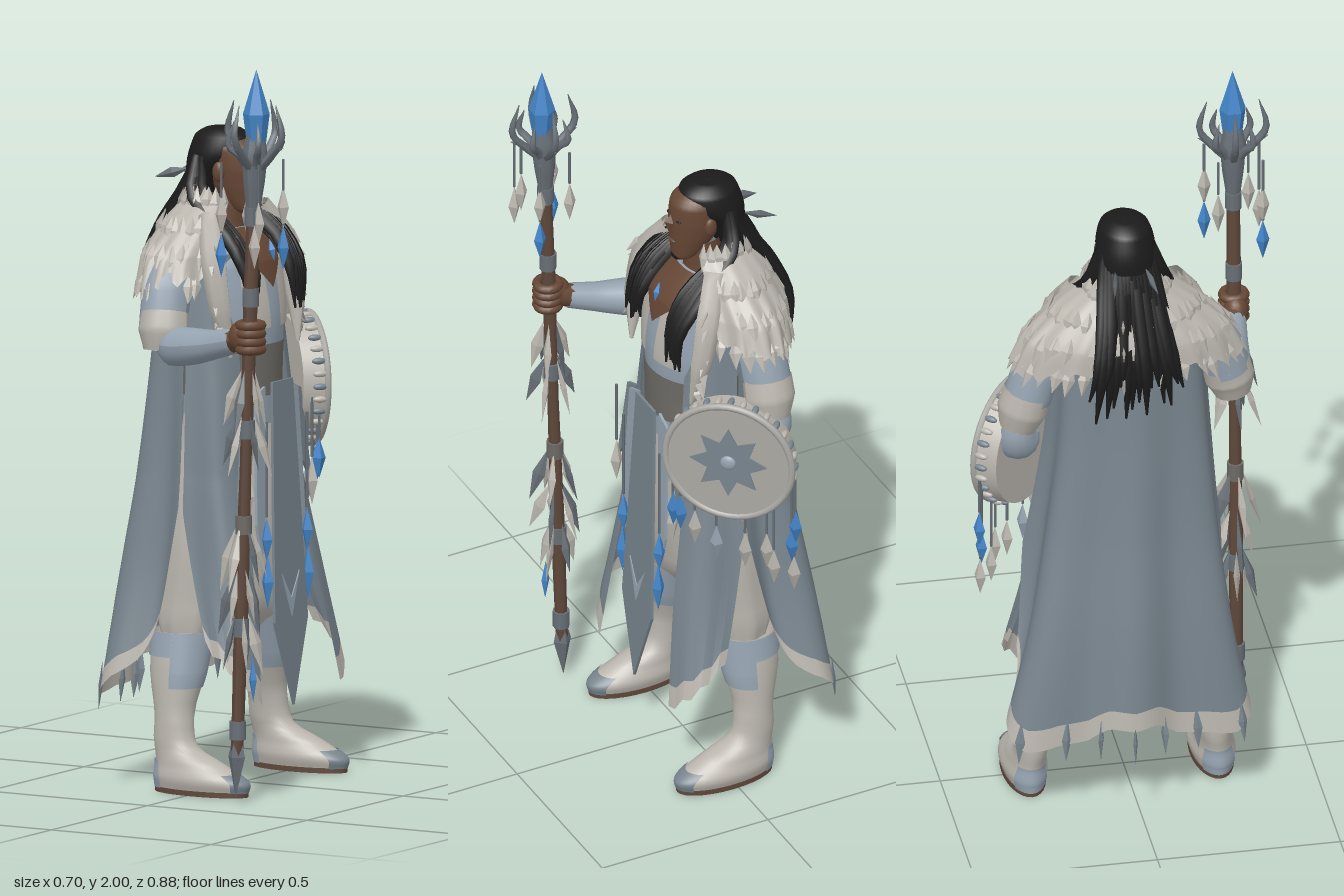
import * as THREE from 'three';
import { ParametricGeometry } from 'three/addons/geometries/ParametricGeometry.js';

const V = (x, y, z) => new THREE.Vector3(x, y, z);
const lerp = THREE.MathUtils.lerp;
const paint = (name, color, side = THREE.FrontSide) =>
  Object.assign(new THREE.MeshStandardMaterial({ color, side }), { name });

export function createModel() {
  const slate = paint('slate cloth', 0x78848d, THREE.DoubleSide);
  const paleBlue = paint('pale blue cloth', 0x95a3b0, THREE.DoubleSide);
  const white = paint('off white fur', 0xbab6ae, THREE.DoubleSide);
  const black = paint('black hair', 0x1c1b1b, THREE.DoubleSide);
  const skin = paint('brown skin', 0x664735);
  const wood = paint('wood', 0x5f483b);
  const horn = paint('grey horn', 0x687076);
  const crystal = paint('blue crystal', 0x4385c8);
  const leather = paint('grey leather', 0x6e6b66);
  const hide = paint('drum hide', 0xaaa8a3);

  const model = new THREE.Group();
  model.name = 'staffBearer';
  let seed = 7;
  const rnd = () => (seed = (seed * 16807) % 2147483647) / 2147483647;

  const add = (name, geo, mat, parent = model) => {
    const m = new THREE.Mesh(geo, mat);
    m.name = name;
    parent.add(m);
    return m;
  };
  const group = (name, parent = model) => {
    const g = new THREE.Group();
    g.name = name;
    parent.add(g);
    return g;
  };

  // Elliptic cross-sections [y, centreX, centreZ, radiusX, radiusZ], bottom to top; angle 0 is +x
  const loft = (name, rows, mat, o = {}, parent = model) => {
    const { from = () => 0, to = () => Math.PI * 2, v0 = 0, v1 = 1, fold = 0, square = 0, count = 9, phase = 0, hem = () => 0, nu = 32, nv = 18 } = o;
    const mid = new THREE.CatmullRomCurve3(rows.map(r => V(r[1], r[0], r[2])));
    const rad = new THREE.CatmullRomCurve3(rows.map(r => V(r[3], 0, r[4])));
    return add(name, new ParametricGeometry((u, w, p) => {
      const v = lerp(v0, v1, w), a = lerp(from(v), to(v), u);
      const c = mid.getPoint(v), r = rad.getPoint(v);
      const k = 1 + fold * (1 - v * 0.8) * Math.cos((a - phase) * count) + square * (1 - v) * Math.sin(2 * a) ** 2;
      p.set(c.x + r.x * k * Math.cos(a), c.y + hem(u) * (1 - v) ** 3, c.z - r.z * k * Math.sin(a));
    }, nu, nv), mat, parent);
  };

  // Tube along a curve whose radius follows a list
  const taper = (name, pts, radii, mat, parent = model, T = 12, R = 8) => {
    const curve = new THREE.CatmullRomCurve3(pts.map(p => V(...p)));
    const geo = new THREE.TubeGeometry(curve, T, 1, R);
    const pos = geo.attributes.position, p = V(0, 0, 0);
    for (let i = 0; i < pos.count; i++) {
      const t = Math.floor(i / (R + 1)) / T, c = curve.getPointAt(t);
      const f = t * (radii.length - 1), k = Math.min(Math.floor(f), radii.length - 2);
      p.fromBufferAttribute(pos, i).sub(c).multiplyScalar(lerp(radii[k], radii[k + 1], f - k)).add(c);
      pos.setXYZ(i, p.x, p.y, p.z);
    }
    geo.computeVertexNormals();
    return add(name, geo, mat, parent);
  };

  const ball = (name, p, s, mat, parent = model) => {
    const m = add(name, new THREE.SphereGeometry(1, 16, 12), mat, parent);
    m.position.set(...p);
    m.scale.set(...s);
    return m;
  };
  // Thin plate facing +x, outlined by [z, y]
  const plate = (name, pts, x, tilt, mat) => {
    const shape = new THREE.Shape(pts.map(([z, y]) => new THREE.Vector2(-z, y)));
    const m = add(name, new THREE.ExtrudeGeometry(shape, { depth: 0.008, bevelEnabled: false }).rotateY(Math.PI / 2), mat);
    m.position.x = x;
    m.rotation.z = tilt;
  };
  // Pointed leaf from a to b, used for feathers, tufts and gems
  const leaf = (name, a, b, w, d, mat, parent = model) => {
    const A = V(...a), B = V(...b), dir = B.clone().sub(A), len = dir.length();
    const m = add(name, new THREE.OctahedronGeometry(1).scale(w, len / 2, d), mat, parent);
    m.position.copy(A.add(B).multiplyScalar(0.5));
    m.quaternion.setFromUnitVectors(V(0, 1, 0), dir.normalize());
  };
  // Cord with a hanging gem or feather
  const pendant = (name, x, y, z, cord, len, mat, parent = model) => {
    const c = add(name + 'Cord', new THREE.CylinderGeometry(0.004, 0.004, cord, 5), horn, parent);
    c.position.set(x, y - cord / 2, z);
    leaf(name, [x, y - cord, z], [x, y - cord - len, z], 0.018, 0.018, mat, parent);
  };

  // Legs: trousers and boots
  for (const s of [1, -1]) {
    const leg = group(s > 0 ? 'rightLeg' : 'leftLeg');
    leg.position.z = -0.015;
    const z = k => s * k;
    loft('trouserLeg', [[0.4, -0.085, z(0.17), 0.065, 0.06], [0.46, -0.085, z(0.145), 0.09, 0.09], [0.7, -0.055, z(0.12), 0.105, 0.1],
      [1.03, -0.04, z(0.07), 0.1, 0.08]], white, { fold: 0.03, count: 8 }, leg);
    const boot = [[0.012, 0.015, z(0.257), 0.14, 0.055], [0.035, 0.015, z(0.257), 0.143, 0.062], [0.08, -0.02, z(0.255), 0.105, 0.052],
      [0.125, -0.07, z(0.25), 0.062, 0.045], [0.2, -0.08, z(0.242), 0.055, 0.048], [0.32, -0.085, z(0.215), 0.078, 0.068], [0.43, -0.085, z(0.187), 0.086, 0.08]];
    loft('boot', boot, white, {}, leg);
    const wide = boot.map(([y, x, c, a, b]) => [y, x, c, a + 0.004, b + 0.004]);
    loft('kneeCuff', wide, paleBlue, { from: () => -1.4, to: () => 1.4, v0: 0.78 }, leg);
    loft('calfPatch', wide, paleBlue, { from: () => 1.4, to: () => 4.88, v0: 0.9 }, leg);
    loft('toeCap', wide, slate, { from: () => -0.7, to: () => 0.7, v1: 0.26 }, leg);
    loft('heelPatch', wide, paleBlue, { from: () => 2.4, to: () => 3.9, v1: 0.36 }, leg);
    const sole = add('sole', new THREE.CylinderGeometry(1, 1, 0.014, 28), wood, leg);
    sole.scale.set(0.142, 1, 0.058);
    sole.position.set(0.015, 0.007, s * 0.257);
  }

  // Torso, bust panels, bare chest and belt
  const torso = [[0.98, -0.04, 0, 0.12, 0.15], [1.1, -0.04, 0, 0.125, 0.135], [1.28, -0.04, 0, 0.135, 0.165], [1.42, -0.05, 0, 0.12, 0.17], [1.51, -0.06, 0, 0.06, 0.09]];
  const grow = (rows, d) => rows.map(([y, x, z, a, b]) => [y, x, z, a + d, b + d]);
  loft('torso', torso, paleBlue);
  for (const s of [1, -1])
    loft('bustPanel', grow(torso, 0.006), white, { from: v => s * 0.42 - 0.32 + 0.1 * v, to: v => s * 0.42 + 0.32 - 0.1 * v, v0: 0.45, v1: 0.78 });
  loft('bareChest', grow(torso, 0.008), skin, { from: v => -3 * (v - 0.62), to: v => 3 * (v - 0.62), v0: 0.62 });
  loft('belt', [[1.06, -0.04, 0, 0.135, 0.15], [1.13, -0.04, 0, 0.137, 0.146], [1.2, -0.04, 0, 0.138, 0.154]], leather);
  leaf('neckGem', [0.075, 1.48, -0.01], [0.09, 1.42, -0.01], 0.011, 0.011, crystal);

  // Front tabard with side strips and gem strands
  plate('tabard', [[0.045, 1.1], [0.075, 0.45], [-0.01, 0.22], [-0.095, 0.45], [-0.06, 1.1]], 0.155, 0.04, slate);
  plate('tabardTip', [[0.035, 0.58], [-0.01, 0.46], [-0.055, 0.58], [-0.01, 0.51]], 0.158, 0.04, paleBlue);
  for (const s of [1, -1]) {
    plate('sideStrip', [[s * 0.06, 1.09], [s * 0.11, 1.07], [s * 0.125, 0.72], [s * 0.105, 0.62], [s * 0.085, 0.72]], 0.14, 0.04, paleBlue);
    plate('hipFlap', [[s * 0.1, 1.08], [s * 0.15, 1.06], [s * 0.19, 0.8], [s * 0.15, 0.86]], 0.125, 0.04, slate);
    pendant('gemStrand', 0.13, 1.0, s * 0.105 - 0.01, 0.26, 0.12, crystal);
    pendant('gemStrand', 0.133, 0.7, s * 0.105 - 0.01, 0.06, 0.15, crystal);
    pendant('hipFeather', 0.115, 1.05, s * 0.165, 0.18, 0.13, white);
  }

  // Cape: pleated back and two front panels, each with a pale hem
  const cape = bottomX => [[0.37, -0.075, -0.03, bottomX, 0.315], [0.6, -0.075, -0.02, lerp(bottomX, 0.19, 0.45), 0.275], [0.85, -0.07, -0.01, 0.187, 0.245],
    [1.12, -0.07, 0, 0.162, 0.22], [1.45, -0.08, 0, 0.13, 0.2]];
  const cloth = (name, rows, o) => {
    const all = { count: 7, nu: 64, nv: 30, ...o };
    loft(name, rows, slate, { ...all, v0: 0.05 });
    loft(name + 'Hem', rows, white, { ...all, v1: 0.05, nv: 3 });
  };
  const slit = v => Math.max(0, 0.27 * (1 - v / 0.4));
  const open = v => 0.55 + 0.14 * (1 - v);
  const zig = u => 0.018 * Math.abs(((u * 14) % 2) - 1);
  cloth('backCape', cape(0.24), {
    from: v => 1.47 + slit(v), to: v => Math.PI * 2 - 1.47 - slit(v), phase: Math.PI, fold: 0.12, square: 0.2,
    hem: u => 0.15 * Math.abs(2 * u - 1) ** 6 - 0.095 + 0.035 * Math.cos(u * 12.6) + zig(u),
  });
  cloth('leftFrontPanel', cape(0.305), { from: open, to: v => 1.47 - slit(v), hem: u => -0.13 + 0.16 * u + zig(u / 2), phase: 0.9, fold: 0.09 });
  cloth('rightFrontPanel', cape(0.305), { from: v => -1.47 + slit(v), to: v => -open(v), hem: u => -0.13 + 0.16 * (1 - u) + zig(u / 2), phase: -0.9, fold: 0.09 });
  for (let i = 0; i < 7; i++) {
    const a = 2.3 + i * 0.28, k = 1 + 0.12 * Math.cos(7 * (a - Math.PI)) + 0.2 * Math.sin(2 * a) ** 2;
    const at = (r, y) => [-0.075 + r * k * Math.cos(a), y, -0.03 - r * 1.31 * k * Math.sin(a)];
    leaf('hemFringe', at(0.235, 0.34), at(0.242, 0.21), 0.014, 0.006, slate);
  }

  // Fur mantle with shallow tufts, a ragged lower edge and lapels
  const fur = group('furMantle');
  const mantle = [[1.37, -0.1, -0.01, 0.15, 0.315], [1.44, -0.1, -0.01, 0.145, 0.285], [1.51, -0.09, -0.01, 0.13, 0.215], [1.58, -0.08, -0.01, 0.1, 0.12]];
  const ragged = u => 0.035 * Math.cos(u * Math.PI * 2) ** 2 - 0.02 + 0.022 * Math.abs(((u * 36) % 2) - 1);
  loft('mantle', mantle, white, { from: () => 0.75, to: () => Math.PI * 2 - 0.75, fold: 0.025, count: 17, hem: ragged, nu: 108 }, fur);
  mantle.forEach(([y, x, z, a, b], row) => {
    for (let i = 0; i < 26; i++) {
      const t = 0.8 + (i + rnd() * 0.8) / 26 * 4.7, c = Math.cos(t), s = Math.sin(t), out = 0.004 + rnd() * 0.012;
      leaf('furTuft', [x + a * 0.9 * c, y + 0.045, z - b * 0.9 * s], [x + (a + out) * c, y - 0.02 - rnd() * 0.03, z - (b + out) * s],
        0.018, row ? 0.008 : 0.01, white, fur);
    }
  });
  for (const s of [1, -1]) {
    taper('lapel', [[-0.03, 1.55, s * 0.13], [0.015, 1.45, s * 0.185], [0.04, 1.33, s * 0.195], [0.065, 1.18, s * 0.175]], [0.03, 0.036, 0.03, 0.005], white, fur);
    for (let i = 0; i < 8; i++)
      leaf('lapelTuft', [0.005 + i * 0.007, 1.5 - i * 0.035, s * 0.18], [0.035 + rnd() * 0.03, 1.44 - i * 0.036, s * (0.21 + rnd() * 0.03)], 0.015, 0.009, white, fur);
  }

  // Right arm reaching to the staff
  const rightArm = group('rightArm');
  taper('upperSleeve', [[-0.1, 1.44, 0.21], [-0.095, 1.37, 0.24], [-0.09, 1.28, 0.266]], [0.05, 0.066, 0.066], paleBlue, rightArm, 12, 14);
  taper('sleeveCuff', [[-0.09, 1.3, 0.26], [-0.085, 1.25, 0.274], [-0.085, 1.2, 0.284]], [0.067, 0.069, 0.05], white, rightArm, 12, 14);
  taper('foreSleeve', [[-0.115, 1.245, 0.265], [-0.06, 1.22, 0.28], [0.06, 1.23, 0.31], [0.175, 1.255, 0.335]], [0.01, 0.056, 0.05, 0.04, 0.034], paleBlue, rightArm, 16, 14);
  taper('wrist', [[0.15, 1.25, 0.33], [0.2, 1.265, 0.34]], [0.032, 0.035], skin, rightArm);
  ball('palm', [0.205, 1.27, 0.345], [0.04, 0.045, 0.035], skin, rightArm);
  for (let i = 0; i < 4; i++) {
    const f = add('finger', new THREE.TorusGeometry(0.03, 0.013, 8, 16).rotateX(Math.PI / 2), skin, rightArm);
    f.position.set(0.23, 1.238 + i * 0.022, 0.345);
  }

  // Left arm behind the drum shield
  const leftArm = group('leftArm');
  taper('upperSleeve', [[-0.1, 1.44, -0.21], [-0.105, 1.36, -0.25], [-0.11, 1.26, -0.283]], [0.05, 0.066, 0.066], paleBlue, leftArm, 12, 14);
  taper('sleeveCuff', [[-0.11, 1.28, -0.28], [-0.11, 1.23, -0.295], [-0.11, 1.17, -0.31]], [0.067, 0.069, 0.05], white, leftArm, 12, 14);
  taper('foreSleeve', [[-0.125, 1.21, -0.31], [-0.11, 1.14, -0.31], [-0.03, 1.08, -0.28]], [0.03, 0.06, 0.045], paleBlue, leftArm, 12, 14);
  ball('fist', [-0.02, 1.07, -0.27], [0.035, 0.035, 0.035], skin, leftArm);

  // Drum shield, its face along local +z
  const shield = group('drumShield');
  shield.position.set(0.02, 1.06, -0.31);
  shield.rotation.y = 2.4;
  add('drumBody', new THREE.CylinderGeometry(0.18, 0.17, 0.065, 40).rotateX(Math.PI / 2).translate(0, 0, -0.034), white, shield);
  add('drumFace', new THREE.CylinderGeometry(0.172, 0.172, 0.008, 40).rotateX(Math.PI / 2), hide, shield);
  add('rim', new THREE.TorusGeometry(0.176, 0.01, 8, 40), hide, shield);
  const star = new THREE.Shape(Array.from({ length: 16 }, (_, i) => {
    const r = i % 2 ? 0.064 : 0.108, a = i * Math.PI / 8;
    return new THREE.Vector2(r * Math.cos(a), r * Math.sin(a));
  }));
  add('star', new THREE.ExtrudeGeometry(star, { depth: 0.005, bevelEnabled: false }).translate(0, 0, 0.003), slate, shield);
  ball('boss', [0, 0, 0.008], [0.022, 0.022, 0.01], paleBlue, shield);
  for (let i = 0; i < 32; i++) {
    const a = i * Math.PI / 16;
    ball('lacing', [0.178 * Math.cos(a), 0.178 * Math.sin(a), -0.022], [0.009, 0.009, 0.02], i % 2 ? white : slate, shield);
  }
  [[-0.16, -0.08, 0.06, crystal], [-0.14, -0.1, 0.05, crystal], [-0.1, -0.15, 0.04, white], [-0.04, -0.18, 0.05, paleBlue], [0.04, -0.18, 0.06, white],
    [0.1, -0.15, 0.08, white], [0.12, -0.13, 0.15, white], [0.17, -0.06, 0.14, crystal], [0.18, -0.04, 0.1, crystal], [0.176, -0.05, 0.24, white]]
    .forEach(([x, y, cord, mat]) => pendant('shieldPendant', x, y, -0.02, cord, 0.11, mat, shield));

  // Staff leaning slightly forward
  const staff = group('staff'), sx = y => 0.183 + 0.034 * y, sz = 0.345;
  taper('shaft', [[sx(0.12), 0.12, sz], [sx(0.9), 0.9, sz], [sx(1.74), 1.74, sz]], [0.017, 0.02, 0.016, 0.02, 0.017], wood, staff, 30);
  leaf('footSpike', [sx(0.2), 0.24, sz], [sx(0), 0.015, sz], 0.026, 0.026, horn, staff);
  for (const y of [0.2, 0.48, 0.76, 1.02, 1.38, 1.6])
    add('binding', new THREE.CylinderGeometry(0.023, 0.023, 0.05, 10).translate(sx(y), y, sz), y % 0.4 > 0.3 ? leather : horn, staff);
  taper('socket', [[sx(1.62), 1.62, sz], [sx(1.75), 1.75, sz], [sx(1.84), 1.84, sz]], [0.02, 0.03, 0.036, 0.022], horn, staff);
  const gem = new THREE.LatheGeometry([[0, 1.77], [0.026, 1.8], [0.036, 1.88], [0, 2]].map(p => new THREE.Vector2(...p)), 6).toNonIndexed();
  gem.computeVertexNormals();
  add('headCrystal', gem, crystal, staff).position.set(0.248, 0, sz);
  for (let i = 0; i < 8; i++) {
    const a = i * Math.PI / 4 + 0.1, big = i % 2 ? 0.8 : 1, drop = 0.05 * (i % 2);
    const at = (r, y) => [0.243 + r * Math.cos(a), y, sz + r * Math.sin(a)];
    taper('antler', [at(0.015, 1.73), at(0.055 * big, 1.77), at(0.09 * big, 1.82 - drop / 2), at(0.07 * big, 1.91 - drop)], [0.013, 0.011, 0.009, 0.001], horn, staff, 10, 6);
    taper('tine', [at(0.06 * big, 1.775), at(0.095 * big, 1.795)], [0.008, 0.001], horn, staff, 4, 6);
  }
  [[-0.06, 0.07, 0.19, crystal], [-0.06, 0.07, 0.08, white], [0.045, 0.05, 0.1, white], [0.05, -0.07, 0.18, crystal], [0.05, -0.07, 0.07, white],
    [-0.05, -0.05, 0.1, white], [0.05, 0.08, 0.16, white]]
    .forEach(([x, z, cord, mat]) => pendant('headPendant', 0.24 + x, 1.75, sz + z, cord, 0.12, mat, staff));
  for (const top of [1.16, 1.04, 0.74, 0.62, 0.5])
    for (let i = 0; i < 5; i++) {
      const a = i * 1.256 + top * 9, r = 0.045 + rnd() * 0.03, x = sx(top), d = 0.12 + rnd() * 0.05;
      leaf('staffFeather', [x + 0.018 * Math.cos(a), top + 0.02, sz + 0.018 * Math.sin(a)], [x + r * Math.cos(a), top - d, sz + r * Math.sin(a)], 0.018, 0.009, i % 3 ? white : horn, staff);
    }
  leaf('staffGem', [sx(0.4) + 0.04, 0.4, sz], [sx(0.3) + 0.045, 0.28, sz], 0.012, 0.012, crystal, staff);

  // Head and face
  const head = group('head');
  head.position.z = -0.01;
  loft('neck', [[1.44, -0.06, 0, 0.065, 0.075], [1.52, -0.055, 0, 0.052, 0.052], [1.6, -0.05, 0, 0.052, 0.05]], skin, {}, head);
  loft('face', [[1.54, 0.012, 0, 0.012, 0.012], [1.555, 0, 0, 0.036, 0.034], [1.61, -0.025, 0, 0.066, 0.055], [1.67, -0.035, 0, 0.077, 0.066], [1.72, -0.045, 0, 0.083, 0.068], [1.76, -0.055, 0, 0.05, 0.04]], skin, {}, head);
  leaf('nose', [0.034, 1.695, 0], [0.048, 1.635, 0], 0.02, 0.014, skin, head);
  ball('beard', [0.018, 1.557, 0], [0.02, 0.018, 0.022], black, head);
  ball('lips', [0.036, 1.607, 0], [0.01, 0.006, 0.018], wood, head);
  for (const s of [1, -1]) {
    ball('eye', [0.031, 1.678, s * 0.028], [0.006, 0.004, 0.01], black, head);
    ball('ear', [-0.045, 1.66, s * 0.066], [0.018, 0.028, 0.012], skin, head);
  }

  // Hair: cap, front locks, back locks and tied feathers
  const hair = group('hair');
  hair.position.z = -0.01;
  loft('hairCap', [[1.58, -0.125, 0, 0.04, 0.06], [1.65, -0.11, 0, 0.062, 0.075], [1.705, -0.08, 0, 0.086, 0.08], [1.75, -0.07, 0, 0.08, 0.068], [1.772, -0.07, 0, 0.045, 0.04], [1.777, -0.07, 0, 0.002, 0.002]], black, {}, hair);
  for (const s of [1, -1]) {
    for (let i = 0; i < 7; i++) {
      const k = rnd() * 0.03, z = 0.085 + i * 0.01;
      taper('frontLock', [[-0.09 - k, 1.7, s * 0.07], [-0.085 - k, 1.6, s * (0.075 + i * 0.005)], [0.02 + k, 1.48, s * z], [0.088, 1.39, s * z], [0.085 + k * 0.7, 1.27 + rnd() * 0.07, s * (z + 0.005)]],
        [0.012, 0.018, 0.019, 0.016, 0.003], black, hair, 12, 6);
    }
    leaf('tiedFeather', [-0.15, 1.66, s * 0.04], [-0.25, 1.63, s * 0.06], 0.015, 0.006, horn, hair);
  }
  for (let i = 0; i < 16; i++) {
    const f = i / 7.5 - 1, k = rnd() * 0.03;
    taper('backLock', [[-0.11, 1.7, f * 0.06], [-0.17 + 0.03 * f * f, 1.62, f * 0.07], [-0.23 + k, 1.5, f * 0.09], [-0.268 + k, 1.4, f * 0.11], [-0.262 + k, 1.24 + rnd() * 0.12, f * 0.13]],
      [0.016, 0.018, 0.018, 0.014, 0.003], black, hair, 12, 6);
  }
  return model;
}
